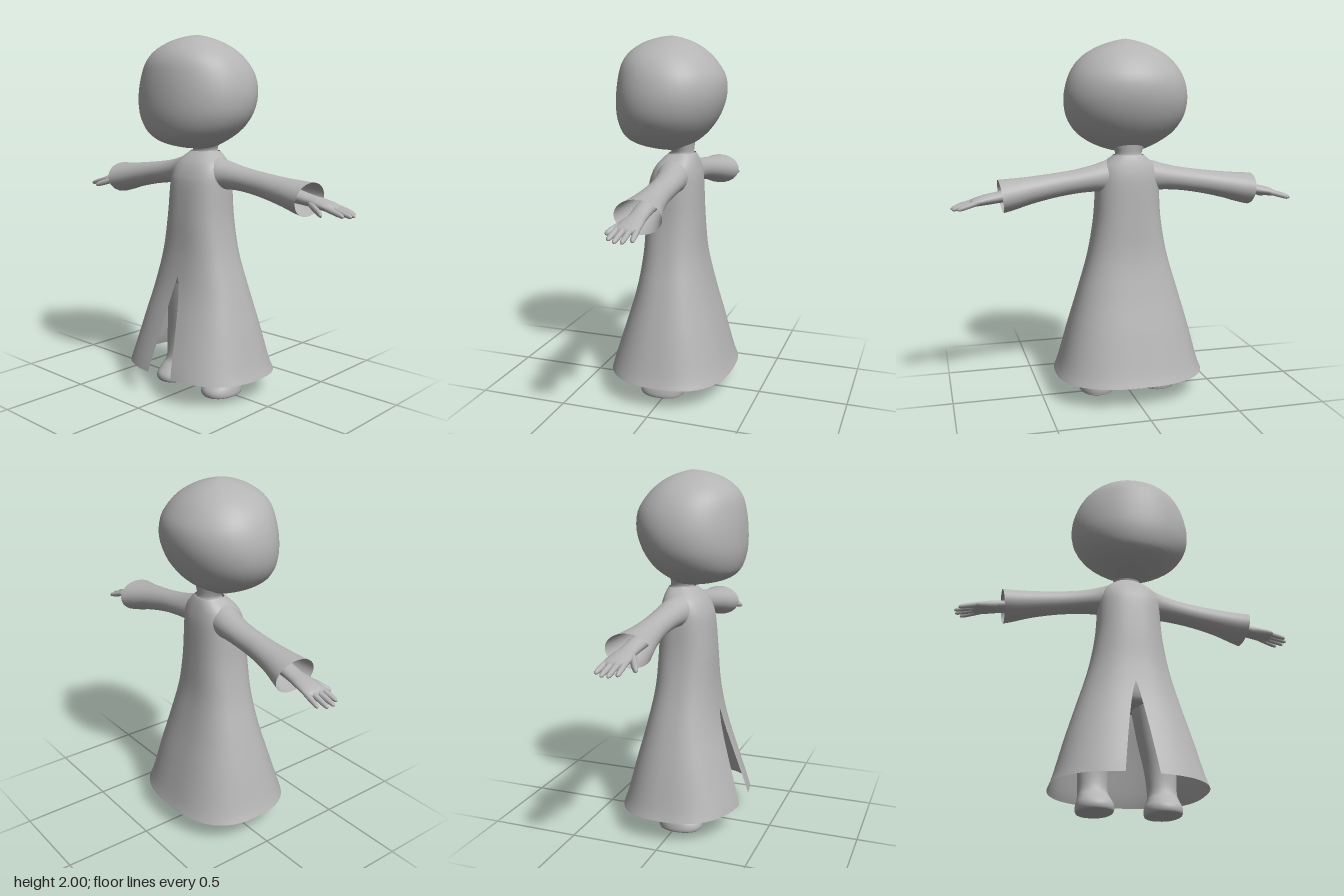
import * as THREE from 'three';
import { mergeVertices } from 'three/addons/utils/BufferGeometryUtils.js';

const clay = new THREE.MeshStandardMaterial({ color: 0xb4b4b4, side: THREE.DoubleSide });
clay.name = 'plain grey';

// Fills in rows of equal length with a smooth curve, n steps per span
function smooth(rows, n = 4) {
  const out = [];
  const at = (i) => rows[Math.max(0, Math.min(rows.length - 1, i))];
  for (let i = 0; i < rows.length - 1; i++) {
    for (let s = 0; s < n; s++) {
      const t = s / n;
      out.push(at(i).map((b, k) => {
        const a = at(i - 1)[k], c = at(i + 1)[k], d = at(i + 2)[k];
        return b + 0.5 * t * (c - a + t * (2 * a - 5 * b + 4 * c - d + t * (3 * (b - c) + d - a)));
      }));
    }
  }
  out.push(rows[rows.length - 1]);
  return out;
}

// Skins a list of rings; every ring holds the same number of points
function skin(name, rings) {
  const w = rings[0].length, index = [];
  for (let i = 0; i < rings.length - 1; i++) {
    for (let j = 0; j < w - 1; j++) {
      const a = i * w + j;
      index.push(a, a + 1, a + w, a + 1, a + w + 1, a + w);
    }
  }
  let geo = new THREE.BufferGeometry();
  geo.setAttribute('position', new THREE.Float32BufferAttribute(rings.flat(2), 3));
  geo.setIndex(index);
  geo = mergeVertices(geo, 1e-5);
  geo.computeVertexNormals();
  const mesh = new THREE.Mesh(geo, clay);
  mesh.name = name;
  return mesh;
}

const pow = (v, n) => Math.sign(v) * Math.abs(v) ** (2 / n);

// Upright ring: rounded box outline, with an optional gap at the front
function ring(y, cx, rx, front, back, { n = 2, gap = 0, seg = 40, tilt = 0 } = {}) {
  const cz = (front + back) / 2, rz = (front - back) / 2;
  const a0 = gap > 0 ? Math.asin((gap / rx) ** (n / 2)) : 0;
  return Array.from({ length: seg + 1 }, (_, j) => {
    const a = a0 + (2 * Math.PI - 2 * a0) * (j / seg);
    return [cx + rx * pow(Math.sin(a), n), y + tilt * Math.cos(a), cz + rz * pow(Math.cos(a), n)];
  });
}

// Sideways ring on side s: centre x, y, z, half height, half depth, slant of the end
function armRing(s, [x, y, z, ry, rz, slant = 0], seg) {
  return Array.from({ length: seg + 1 }, (_, j) => {
    const a = (j / seg) * 2 * Math.PI;
    return [s * (x + slant * Math.cos(a)), y + ry * Math.cos(a), z + s * rz * Math.sin(a)];
  });
}

const limb = (name, s, rows, seg) => skin(name, smooth(rows).map((r) => armRing(s, r, seg)));

// Tapered finger with a rounded tip, from point a to point b
function finger(name, s, a, b, r) {
  const rows = [[0, 1], [0.35, 1], [0.7, 0.92], [0.9, 0.75], [0.97, 0.45], [1, 0]].map(([t, k]) => [
    ...a.map((v, i) => v + (b[i] - v) * t), r * k, r * k]);
  return skin(name, rows.map((q) => armRing(s, q, 10)));
}

export function createModel() {
  const model = new THREE.Group();
  model.name = 'robedFigure';

  // Head: y, half width, front z, back z
  const head = [
    [1.385, 0, 0.02, 0.02], [1.39, 0.08, 0.11, -0.05], [1.415, 0.16, 0.215, -0.085],
    [1.45, 0.225, 0.275, -0.135], [1.5, 0.285, 0.305, -0.185], [1.58, 0.332, 0.323, -0.235],
    [1.68, 0.346, 0.324, -0.266], [1.78, 0.326, 0.314, -0.262], [1.86, 0.283, 0.294, -0.217],
    [1.92, 0.22, 0.25, -0.16], [1.965, 0.135, 0.18, -0.09], [1.99, 0.055, 0.1, -0.02], [2, 0, 0.03, 0.03],
  ];
  model.add(skin('head', smooth(head, 3).map(([y, rx, f, b]) => ring(y, 0, rx, f, b, { n: 2.1 }))));

  // Neck
  model.add(skin('neck', smooth([[1.3, 0.1, 0.05, -0.11], [1.355, 0.083, 0.035, -0.1],
    [1.38, 0.075, 0.03, -0.095], [1.43, 0.1, 0.06, -0.1]]).map(([y, rx, f, b]) => ring(y, 0, rx, f, b))));

  // Long robe, split at the front below the waist
  const robe = [
    [0.13, 0.422, 0.345, -0.342], [0.2, 0.397, 0.326, -0.318], [0.4, 0.343, 0.264, -0.264],
    [0.6, 0.284, 0.207, -0.209], [0.8, 0.226, 0.174, -0.167], [1.0, 0.19, 0.162, -0.152],
    [1.18, 0.178, 0.147, -0.144], [1.25, 0.172, 0.13, -0.138], [1.3, 0.155, 0.105, -0.128],
    [1.335, 0.122, 0.075, -0.118], [1.36, 0.092, 0.047, -0.108], [1.368, 0.084, 0.038, -0.102],
  ];
  const splitTop = 0.68;
  model.add(skin('robe', smooth(robe, 5).map(([y, rx, f, b]) => {
    const open = Math.max(0, (splitTop - y) / 0.55);
    return ring(y, 0, rx, f, b, { n: 2.5, seg: 72, gap: 0.088 * open ** 0.75, tilt: 0.01 * open });
  })));

  // Hips hidden under the robe
  model.add(skin('hips', smooth([[0.58, 0, 0, 0], [0.585, 0.12, 0.08, -0.09], [0.62, 0.21, 0.125, -0.13],
    [0.75, 0.2, 0.14, -0.135], [0.9, 0.17, 0.13, -0.12]]).map(([y, rx, f, b]) => ring(y, 0, rx, f, b))));

  for (const s of [1, -1]) {
    const side = s > 0 ? 'left' : 'right';

    // Leg and foot: y, centre x, half width, front z, back z
    const leg = [
      [0, 0.181, 0, 0.02, 0.02], [0.001, 0.181, 0.08, 0.125, -0.085], [0.012, 0.181, 0.098, 0.148, -0.1],
      [0.045, 0.181, 0.097, 0.145, -0.104], [0.085, 0.184, 0.084, 0.105, -0.1], [0.13, 0.186, 0.078, 0.066, -0.098],
      [0.25, 0.18, 0.085, 0.062, -0.103], [0.42, 0.15, 0.095, 0.082, -0.11], [0.64, 0.12, 0.108, 0.11, -0.12],
    ];
    model.add(skin(side + 'Leg', smooth(leg).map(([y, x, rx, f, b]) =>
      ring(Math.max(y, 0), s * x, rx, f, b, { n: 2.2, seg: 28 }))));

    // Flared sleeve with an open, slanted cuff
    model.add(limb(side + 'Sleeve', s, [
      [0.07, 1.255, -0.015, 0.094, 0.09, 0], [0.14, 1.246, -0.018, 0.086, 0.088, 0],
      [0.2, 1.24, -0.027, 0.074, 0.08, 0], [0.3, 1.226, -0.034, 0.066, 0.072, 0],
      [0.42, 1.208, -0.036, 0.067, 0.071, 0], [0.55, 1.186, -0.038, 0.074, 0.085, 0.003],
      [0.65, 1.168, -0.042, 0.084, 0.107, 0.008], [0.713, 1.159, -0.045, 0.089, 0.125, 0.012],
    ], 32));

    // Forearm, wrist and palm
    const hand = new THREE.Group();
    hand.name = side + 'Hand';
    hand.add(limb('palm', s, [
      [0.5, 1.19, -0.037, 0.045, 0.05], [0.62, 1.174, -0.04, 0.038, 0.048], [0.72, 1.156, -0.045, 0.031, 0.048],
      [0.78, 1.147, -0.045, 0.029, 0.058], [0.84, 1.136, -0.047, 0.024, 0.063],
      [0.872, 1.128, -0.047, 0.016, 0.056], [0.884, 1.125, -0.047, 0, 0],
    ], 24));

    // Four fingers and a thumb
    [[0.945, 1.103, -0.108], [0.972, 1.099, -0.068], [0.977, 1.1, -0.03], [0.955, 1.104, 0.008]].forEach((tip, i) =>
      hand.add(finger('finger' + (i + 1), s, [0.83, 1.138, -0.094 + i * 0.031], tip, 0.0155)));
    hand.add(finger('thumb', s, [0.745, 1.145, -0.008], [0.86, 1.105, 0.058], 0.019));
    model.add(hand);
  }
  return model;
}
